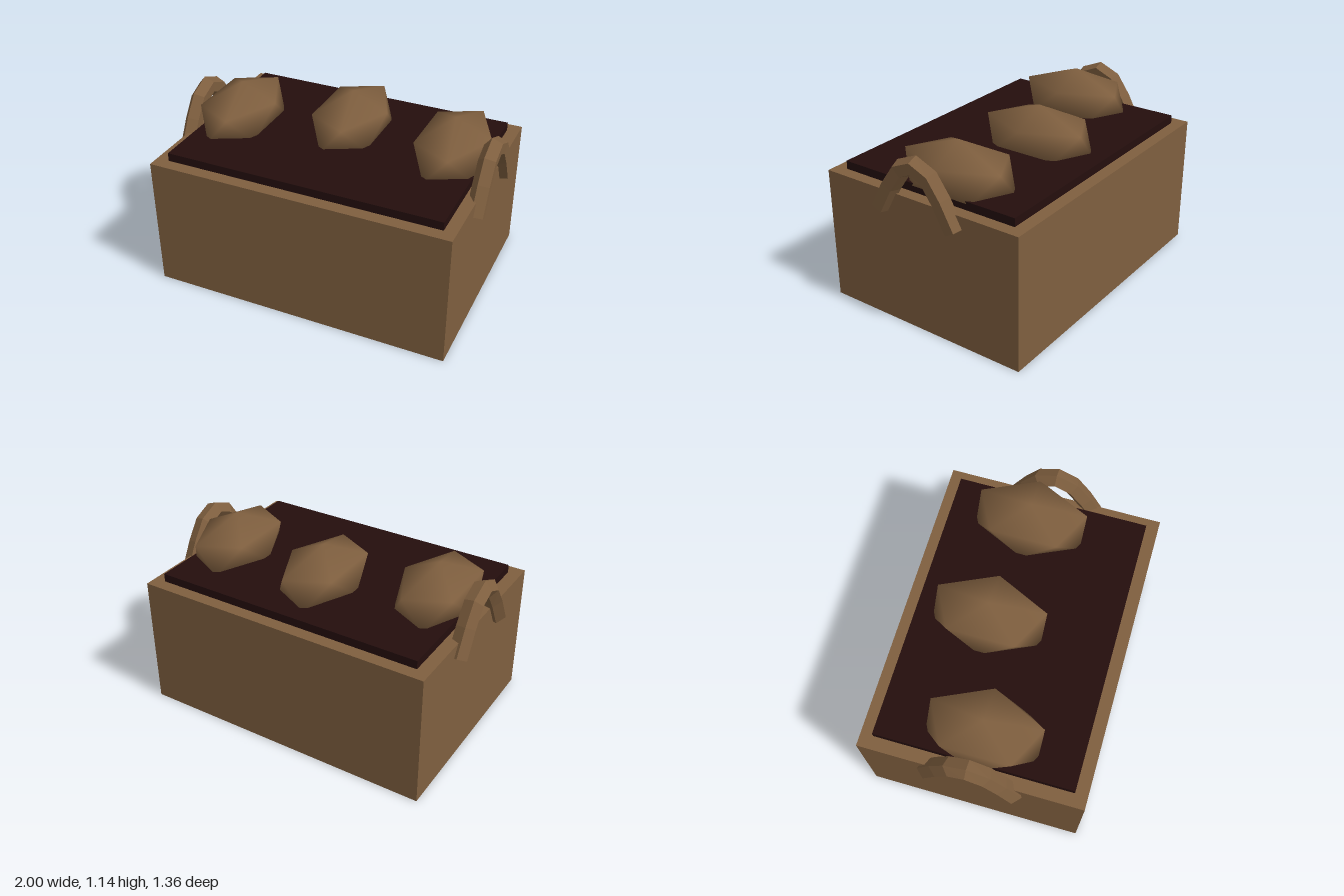
import * as THREE from 'three';

const wood = new THREE.MeshStandardMaterial({ color: 0x7f5f3f });
wood.name = 'brown';
const flatWood = wood.clone(); // same brown, faceted for the handles
flatWood.name = 'brownFaceted';
flatWood.flatShading = true;
const soilDark = new THREE.MeshStandardMaterial({ color: 0x240e0d });
soilDark.name = 'darkSoil';

function add(group, name, geometry, material, x, y, z) {
  const mesh = new THREE.Mesh(geometry, material);
  mesh.name = name;
  mesh.position.set(x, y, z);
  group.add(mesh);
  return mesh;
}

function indexed(points, index) {
  const g = new THREE.BufferGeometry();
  g.setAttribute('position', new THREE.Float32BufferAttribute(points, 3));
  g.setIndex(index);
  return g;
}

// Smooth-shaded, stretched icosahedron standing on one vertex
function lumpGeometry(rx, ry, rz) {
  const points = [0, ry, 0];
  for (const [h, turn] of [[1, 0], [-1, 0.5]]) {
    for (let i = 0; i < 5; i++) {
      const a = (i + turn) * Math.PI * 0.4;
      points.push(rx * Math.cos(a), h * 0.447 * ry, rz * Math.sin(a));
    }
  }
  points.push(0, -ry, 0);
  const index = [];
  for (let i = 0; i < 5; i++) {
    const u = 1 + i, u2 = 1 + (i + 1) % 5, l = u + 5, l2 = u2 + 5;
    index.push(0, u2, u, u, u2, l, u2, l2, l, 11, l, l2);
  }
  const g = indexed(points, index);
  g.computeVertexNormals();
  return g;
}

// Five-sided bar swept along a bent arch in the z-y plane
function handleGeometry() {
  const half = [[0.10, 1.008], [0.18, 0.895], [0.265, 0.738]];
  const path = [...half.map(([z, y]) => [-z, y]).reverse(), [0, 1.052], ...half];
  const sides = 5, r = 0.059, points = [], index = [];
  path.forEach(([z, y], i) => {
    const a = path[Math.max(i - 1, 0)], b = path[Math.min(i + 1, path.length - 1)];
    const t = new THREE.Vector2(b[0] - a[0], b[1] - a[1]).normalize();
    for (let j = 0; j < sides; j++) {
      const angle = THREE.MathUtils.degToRad(33 + 72 * j);
      const n = r * Math.sin(angle);
      points.push(r * Math.cos(angle), y + n * t.x, z - n * t.y);
    }
  });
  const last = (path.length - 1) * sides;
  for (let i = 0; i < last; i += sides) {
    for (let j = 0; j < sides; j++) {
      const k = (j + 1) % sides;
      index.push(i + j, i + k, i + sides + k, i + j, i + sides + k, i + sides + j);
    }
  }
  // End caps
  for (let j = 1; j < sides - 1; j++) {
    index.push(0, j + 1, j, last, last + j, last + j + 1);
  }
  const g = indexed(points, index).toNonIndexed();
  g.computeVertexNormals();
  return g;
}

export function createModel() {
  const model = new THREE.Group();
  model.name = 'planterCrate';

  // Crate and the slab of soil rising out of it
  add(model, 'crate', new THREE.BoxGeometry(1.885, 0.84, 1.36), wood, 0.0025, 0.42, 0);
  add(model, 'soil', new THREE.BoxGeometry(1.73, 0.1, 1.205), soilDark, 0.005, 0.842, 0);

  // Three lumps half buried in the soil
  const lump = lumpGeometry(0.225, 0.19, 0.352);
  [[-0.672, 0.015], [0.005, -0.157], [0.685, -0.093]].forEach(([x, z], i) => {
    add(model, 'lump' + (i + 1), lump, wood, x, 0.95, z);
  });

  // Arched handles, one at each end
  const handle = handleGeometry();
  add(model, 'rightHandle', handle, flatWood, -0.941, 0, 0);
  add(model, 'leftHandle', handle, flatWood, 0.947, 0, 0);
  return model;
}
